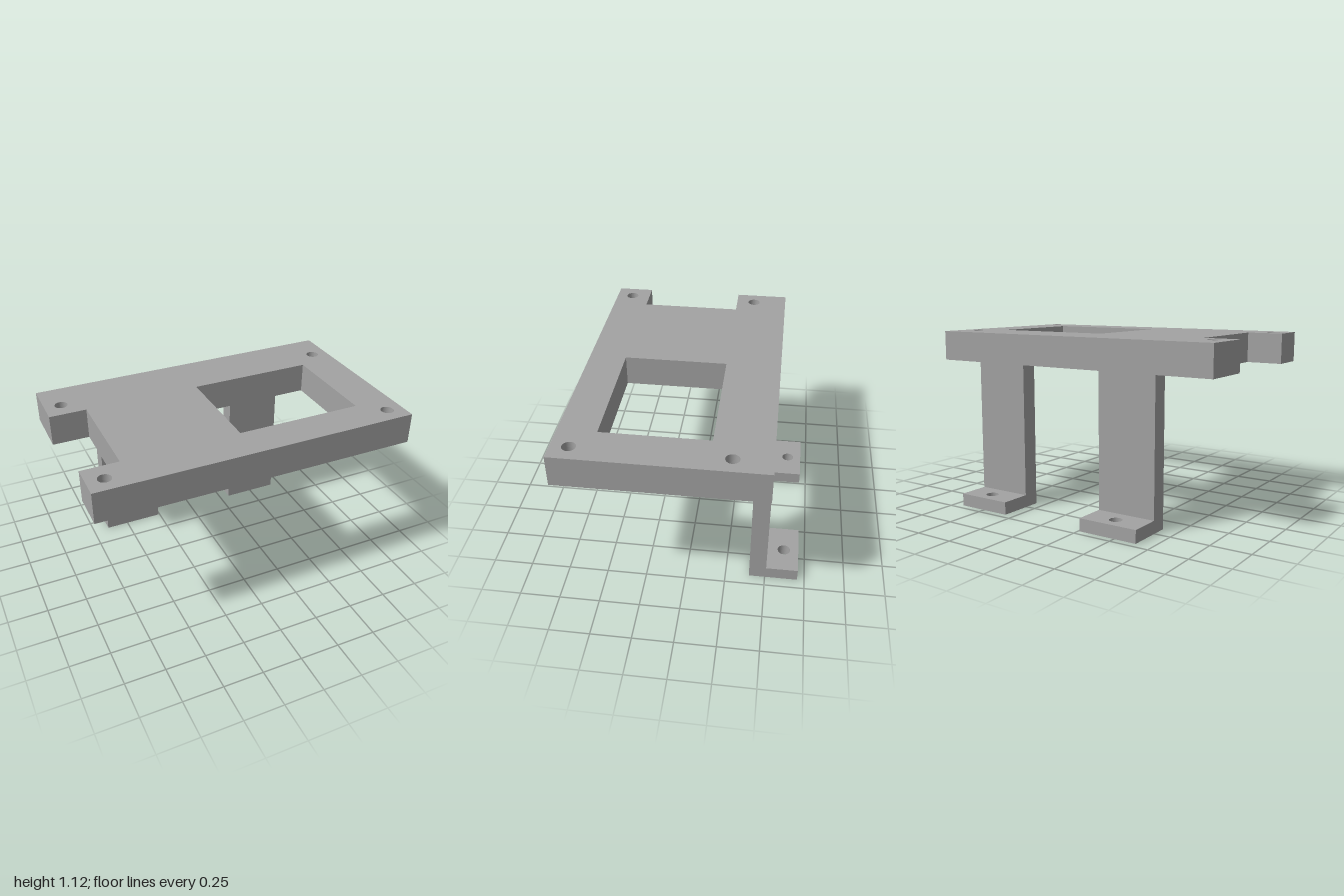
import * as THREE from 'three';

const material = new THREE.MeshStandardMaterial({ color: 0xa3a3a3 });
const HOLE_RADIUS = 0.04;
const TOP = 1.118, UNDERSIDE = 0.925;
const BACK = -0.506, FRONT = 0.705;

const outline = (Type, points) => new Type(points.map(([x, z]) => new THREE.Vector2(x, z)));
const rectangle = (x0, x1, z0, z1) => [[x0, z0], [x1, z0], [x1, z1], [x0, z1]];

function drill(shape, x, z) {
  const hole = new THREE.Path();
  hole.absarc(x, z, HOLE_RADIUS, 0, Math.PI * 2, true);
  shape.holes.push(hole);
}

// Horizontal slab from an outline drawn in x and z, between two heights
function slab(shape, bottom, top, name) {
  const geometry = new THREE.ExtrudeGeometry(shape, {
    depth: top - bottom, bevelEnabled: false, curveSegments: 24,
  });
  geometry.rotateX(Math.PI / 2).translate(0, top, 0);
  const mesh = new THREE.Mesh(geometry, material);
  mesh.name = name;
  return mesh;
}

// Top plate: notch in one end, rectangular window and four corner holes
function createPlate() {
  const z0 = -0.165, z1 = 0.475, notch = -0.77;
  const shape = outline(THREE.Shape, [
    [-1, BACK], [1, BACK], [1, FRONT], [-1, FRONT],
    [-1, z1], [notch, z1], [notch, z0], [-1, z0],
  ]);
  shape.holes.push(outline(THREE.Path, rectangle(-0.04, 0.75, z0, z1)));
  for (const x of [-0.895, 0.895]) for (const z of [-0.285, 0.598]) drill(shape, x, z);
  return slab(shape, UNDERSIDE, TOP, 'topPlate');
}

// Upright leg with a drilled foot turned backwards
function createLeg(name, x0, x1, holeX) {
  const leg = new THREE.Group();
  leg.name = name;

  const inner = -0.4;
  const post = new THREE.Mesh(new THREE.BoxGeometry(x1 - x0, UNDERSIDE, inner - BACK), material);
  post.position.set((x0 + x1) / 2, UNDERSIDE / 2, (inner + BACK) / 2);
  post.name = 'post';

  const footShape = outline(THREE.Shape, rectangle(x0, x1, -0.705, BACK));
  drill(footShape, holeX, -0.612);
  leg.add(post, slab(footShape, 0, 0.08, 'foot'));
  return leg;
}

export function createModel() {
  const model = new THREE.Group();
  model.name = 'mountingBracket';
  model.add(
    createPlate(),
    createLeg('rightLeg', -0.646, -0.26, -0.452),
    createLeg('leftLeg', 0.317, 0.682, 0.509),
  );
  return model;
}
